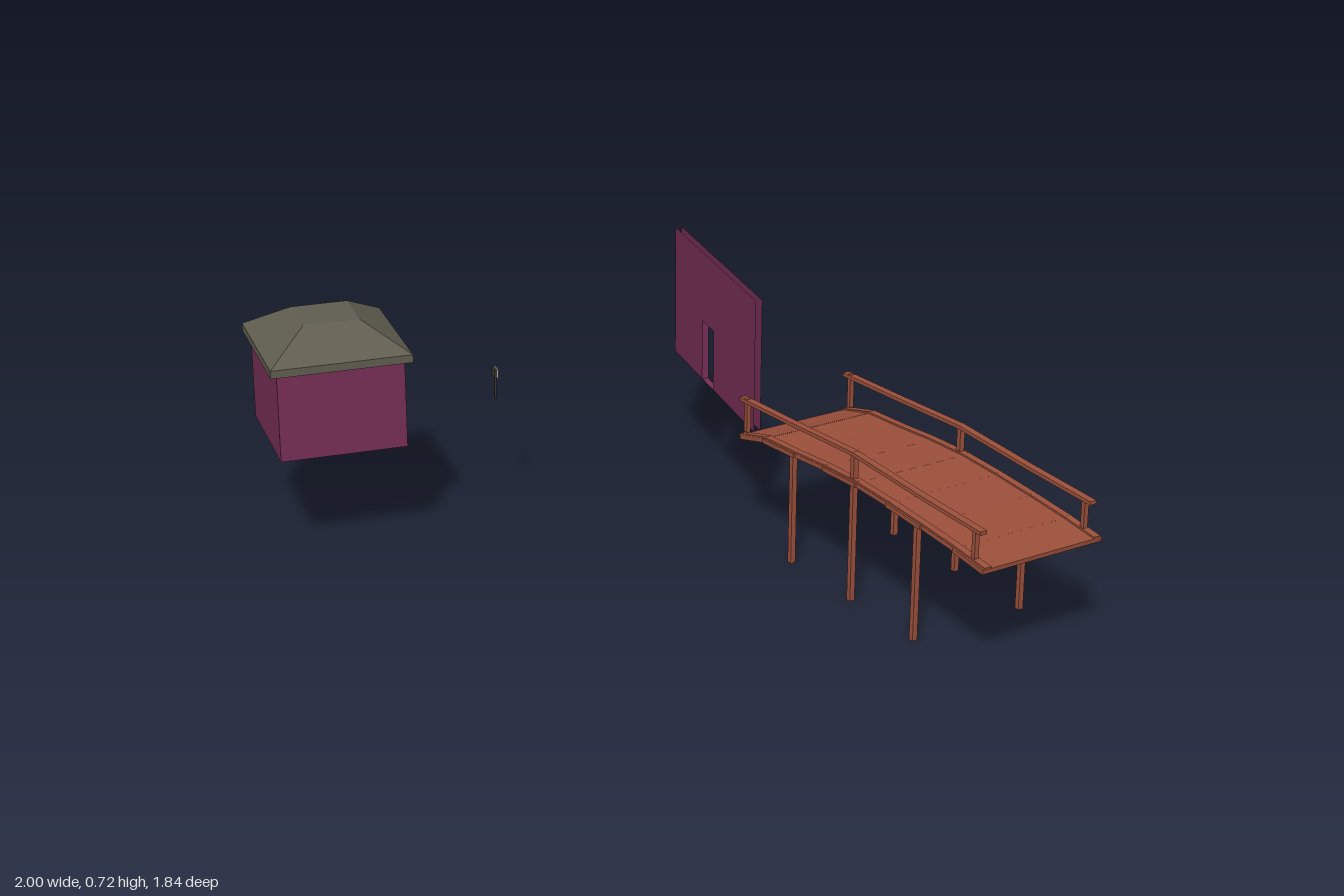
import * as THREE from 'three';

const mat = (name, color, side = THREE.FrontSide) => {
  const m = new THREE.MeshStandardMaterial({ color, side });
  m.name = name;
  return m;
};

export function createModel() {
  const wood = mat('red brown wood', 0x9c503b);
  const plum = mat('plum plaster', 0x772e56, THREE.DoubleSide);
  const slate = mat('grey slate', 0x605c50);
  const iron = mat('dark iron', 0x3a3634);
  const steel = mat('light steel', 0xa3a3a3);

  const model = new THREE.Group();
  model.name = 'courtyardSet';

  const add = (parent, name, geometry, material, x, y, z) => {
    const mesh = new THREE.Mesh(geometry, material);
    mesh.name = name;
    mesh.position.set(x, y, z);
    parent.add(mesh);
    return mesh;
  };
  const box = (parent, name, material, w, h, d, x, y, z) =>
    add(parent, name, new THREE.BoxGeometry(w, h, d), material, x, y, z);

  // Hollow wall facing +x: two skins, with jambs, sill and lintel in the doorway
  const doorWall = (name, length, height, doorOffset) => {
    const g = new THREE.Group();
    g.name = name;
    const h = length / 2, dw = 0.05, dh = 0.19, depth = 0.02;
    const s = new THREE.Shape([
      [-h, 0], [doorOffset - dw, 0], [doorOffset - dw, dh], [doorOffset + dw, dh],
      [doorOffset + dw, 0], [h, 0], [h, height], [-h, height],
    ].map(([x, y]) => new THREE.Vector2(x, y)));
    for (const z of [-depth / 2, depth / 2]) add(g, 'wallSkin', new THREE.ShapeGeometry(s), plum, 0, 0, z);
    for (const side of [-1, 1]) {
      const jamb = add(g, 'doorJamb', new THREE.PlaneGeometry(depth, dh), plum, doorOffset + side * dw, dh / 2, 0);
      jamb.rotation.y = Math.PI / 2;
    }
    for (const y of [0, dh]) {
      const sill = add(g, y ? 'doorLintel' : 'doorSill', new THREE.PlaneGeometry(dw * 2, depth), plum, doorOffset, y, 0);
      sill.rotation.x = -Math.PI / 2;
    }
    g.rotation.y = Math.PI / 2;
    return g;
  };

  // Freestanding wall with doorway
  const gateWall = doorWall('gateWall', 0.71, 0.41, 0.05);
  gateWall.position.set(0.397, 0.314, -0.515);
  model.add(gateWall);

  // Small house, open underneath
  const house = new THREE.Group();
  house.name = 'house';
  house.position.set(-0.792, 0.314, -0.567);
  model.add(house);
  const half = 0.187, wallH = 0.266;
  const front = doorWall('houseDoorWall', half * 2, wallH, 0);
  front.position.x = half - 0.01;
  house.add(front);
  for (const side of [-1, 1])
    add(house, 'houseSideWall', new THREE.PlaneGeometry(half * 2, wallH), plum, 0, wallH / 2, side * half);
  const back = add(house, 'houseBackWall', new THREE.PlaneGeometry(half * 2, wallH), plum, -half, wallH / 2, 0);
  back.rotation.y = Math.PI / 2;
  box(house, 'ceiling', wood, 0.36, 0.006, 0.36, 0, wallH - 0.004, 0);
  box(house, 'eaves', slate, 0.415, 0.024, 0.415, 0, wallH + 0.012, 0);
  const roofGeo = new THREE.CylinderGeometry(0.083 * Math.SQRT2, 0.2075 * Math.SQRT2, 0.08, 4).toNonIndexed();
  roofGeo.computeVertexNormals();
  roofGeo.rotateY(Math.PI / 4);
  add(house, 'roof', roofGeo, slate, 0, wallH + 0.064, 0);

  // Small post with a plate on top
  const post = new THREE.Group();
  post.name = 'markerPost';
  post.position.set(-0.285, 0, -0.575);
  model.add(post);
  box(post, 'postShaft', iron, 0.006, 0.08, 0.006, 0, 0.39, 0);
  box(post, 'postBack', iron, 0.008, 0.026, 0.034, -0.002, 0.433, 0);
  box(post, 'postPlate', steel, 0.004, 0.03, 0.036, 0.004, 0.433, 0);

  // Arched footbridge, built along its own z axis
  const bridge = new THREE.Group();
  bridge.name = 'bridge';
  bridge.position.set(0.667, 0, 0.36);
  bridge.rotation.y = 0.232;
  model.add(bridge);

  // Box laid between two points of a (z, y) profile; y is its top
  const span = (name, x, w, t, [z0, y0], [z1, y1]) => {
    const m = box(bridge, name, wood, w, t, Math.hypot(z1 - z0, y1 - y0) + 0.006,
      x, (y0 + y1) / 2 - t / 2, (z0 + z1) / 2);
    m.rotation.x = -Math.atan2(y1 - y0, z1 - z0);
  };
  const deck = [[-0.575, 0.313], [-0.45, 0.345], [-0.3, 0.354], [-0.15, 0.366], [0, 0.372],
    [0.15, 0.368], [0.3, 0.36], [0.45, 0.35], [0.575, 0.337]];
  for (let i = 0; i < deck.length - 1; i++)
    span('deckPanel', 0, i % 2 ? 0.404 : 0.394, 0.013, deck[i], deck[i + 1]);

  const rail = [[-0.58, 0.43], [-0.32, 0.441], [-0.023, 0.456], [0.28, 0.443], [0.55, 0.436]];
  for (const x of [-0.185, 0.185]) {
    for (let i = 0; i < rail.length - 1; i++) span('handrail', x, 0.022, 0.011, rail[i], rail[i + 1]);
    for (let i = 0; i < deck.length - 1; i++)
      span('deckKerb', x, 0.022, 0.013, [deck[i][0], deck[i][1] + 0.005], [deck[i + 1][0], deck[i + 1][1] + 0.005]);
    // Support legs; the middle one rises to the handrail
    for (const [z, top] of [[-0.318, 0.35], [-0.023, 0.45], [0.272, 0.355]])
      box(bridge, 'supportLeg', wood, 0.016, top, 0.016, x, top / 2, z);
    for (const z of [-0.557, 0.522])
      box(bridge, 'railPost', wood, 0.014, 0.105, 0.014, x, 0.38, z);
  }
  return model;
}
